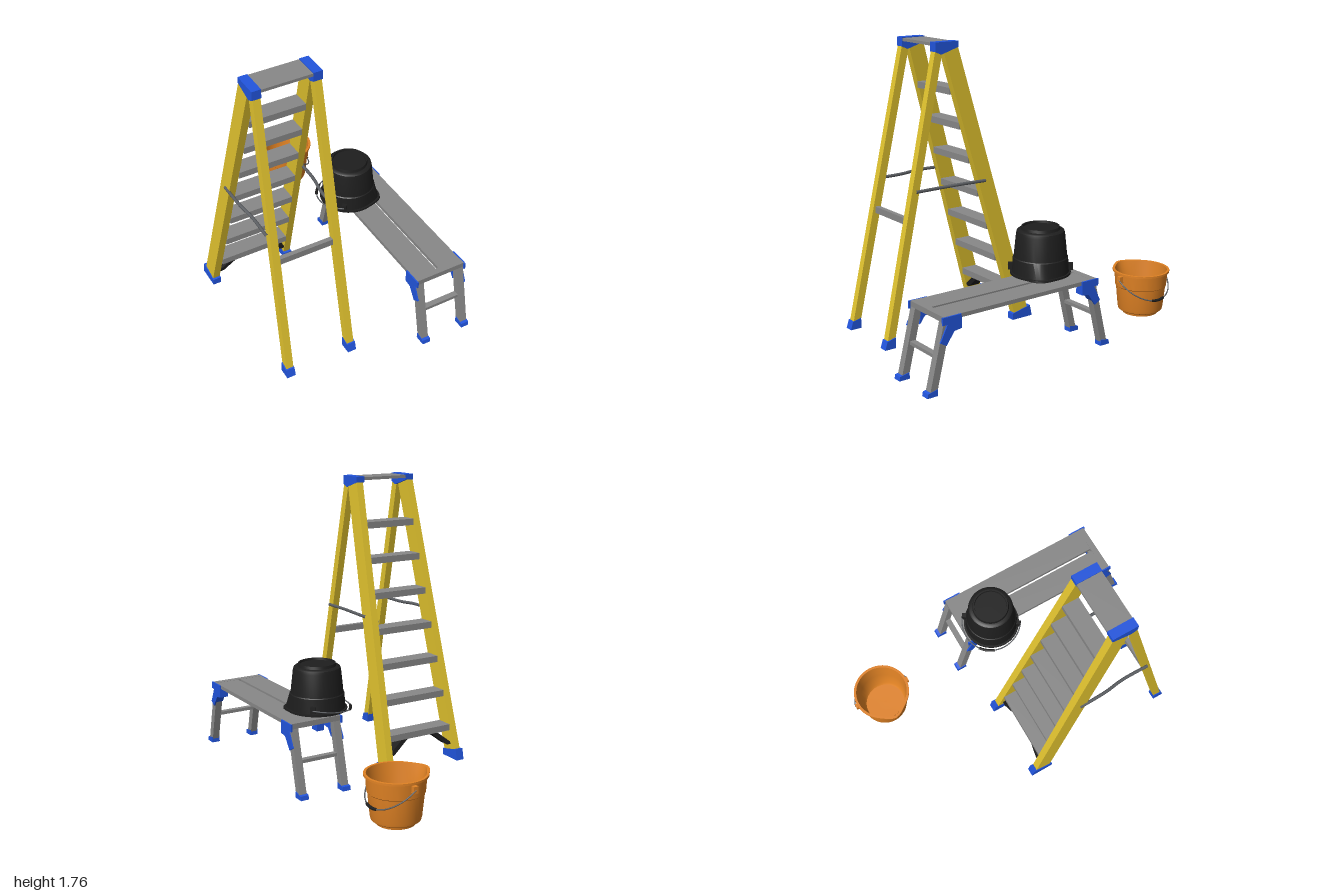
import * as THREE from 'three';
import { toCreasedNormals } from 'three/addons/utils/BufferGeometryUtils.js';

const mat = (name, color) => Object.assign(new THREE.MeshStandardMaterial({ color }), { name });

export function createModel() {
  const yellow = mat('yellow fibreglass', 0xe0c22e);
  const grey = mat('grey aluminium', 0x888888);
  const blue = mat('blue plastic', 0x2255dd);
  const black = mat('black plastic', 0x1e1e1e);
  const orange = mat('orange plastic', 0xe08224);
  const steel = mat('handle steel', 0x5c5f63);

  const add = (parent, name, geo, material) => {
    const m = new THREE.Mesh(geo, material);
    m.name = name;
    parent.add(m);
    return m;
  };
  const group = (parent, name) => {
    const g = new THREE.Group();
    g.name = name;
    parent.add(g);
    return g;
  };
  // box given by its min and max corners
  const box = (parent, name, material, [x0, y0, z0], [x1, y1, z1]) =>
    add(parent, name, new THREE.BoxGeometry(x1 - x0, y1 - y0, z1 - z0)
      .translate((x0 + x1) / 2, (y0 + y1) / 2, (z0 + z1) / 2), material);
  // leaning post with level ends, from centre a (bottom) to centre b (top)
  const post = (parent, name, material, a, b, w, d) => {
    const geo = new THREE.BoxGeometry(w, b[1] - a[1], d);
    const p = geo.attributes.position;
    for (let i = 0; i < p.count; i++) {
      const end = p.getY(i) > 0 ? b : a;
      p.setXYZ(i, p.getX(i) + end[0], end[1], p.getZ(i) + end[2]);
    }
    geo.computeVertexNormals();
    return add(parent, name, geo, material);
  };
  // side profile of [z, y] points, extruded across x
  const prism = (parent, name, material, pts, x0, x1) => {
    const shape = new THREE.Shape(pts.map(([z, y]) => new THREE.Vector2(z, y)));
    const geo = new THREE.ExtrudeGeometry(shape, { depth: x1 - x0, bevelEnabled: false });
    return add(parent, name, geo.rotateY(-Math.PI / 2).translate(x1, 0, 0), material);
  };
  const tube = (parent, name, material, pts, r, seg) =>
    add(parent, name, new THREE.TubeGeometry(new THREE.CatmullRomCurve3(pts), seg, r, 8), material);

  const model = new THREE.Group();
  model.name = 'ladderBenchAndBuckets';

  // ---- stepladder ----
  const ladder = group(model, 'stepladder');
  ladder.position.x = -0.33;
  const railZ = y => -0.13 + (y - 0.03) * 0.275;
  const innerX = y => 0.231 - (y - 0.03) * 0.04;
  for (const s of [-1, 1]) {
    const span = (a, b) => [Math.min(s * a, s * b), Math.max(s * a, s * b)];
    post(ladder, 'stepRail', yellow, [s * 0.253, 0.03, railZ(0.03)], [s * 0.185, 1.735, railZ(1.735)], 0.045, 0.107);
    post(ladder, 'supportLeg', yellow, [s * 0.203, 0.03, 0.795], [s * 0.18, 1.735, 0.409], 0.045, 0.05);
    prism(ladder, 'topCap', blue,
      [[0.44, 1.765], [0.44, 1.71], [0.4, 1.693], [0.282, 1.73], [0.282, 1.765]], ...span(0.153, 0.209));
    prism(ladder, 'stepRailFoot', blue,
      [[-0.06, 0], [-0.06, 0.04], [-0.195, 0.07], [-0.21, 0]], ...span(0.227, 0.28));
    prism(ladder, 'supportLegFoot', blue,
      [[0.838, 0], [0.822, 0.05], [0.765, 0.065], [0.765, 0]], ...span(0.177, 0.232));
    // folding spreader on the outside
    tube(ladder, 'spreader', steel, [
      new THREE.Vector3(s * 0.242, 0.92, 0.12), new THREE.Vector3(s * 0.238, 0.922, 0.3),
      new THREE.Vector3(s * 0.222, 0.917, 0.42), new THREE.Vector3(s * 0.222, 0.915, 0.6)], 0.01, 12);
    // corner brace under the lowest step
    post(ladder, 'stepBrace', black, [s * 0.225, 0.09, -0.1], [s * 0.11, 0.18, -0.085], 0.045, 0.075);
  }
  // hollow channel treads
  for (let i = 0; i < 7; i++) {
    const y = 0.22 + i * 0.2117, z = railZ(y), x = innerX(y);
    const step = group(ladder, 'step');
    box(step, 'tread', grey, [-x, y - 0.01, z - 0.053], [x, y, z + 0.053]);
    box(step, 'backLip', grey, [-x, y - 0.04, z - 0.053], [x, y - 0.01, z - 0.043]);
    box(step, 'frontLip', grey, [-x, y - 0.04, z + 0.043], [x, y - 0.01, z + 0.053]);
  }
  box(ladder, 'topStep', grey, [-0.155, 1.742, 0.282], [0.155, 1.76, 0.437]);
  box(ladder, 'supportCrossbar', grey, [-0.175, 0.715, 0.617], [0.175, 0.755, 0.645]);

  // ---- work bench ----
  const bench = group(model, 'workBench');
  bench.position.set(0.4365, 0, 0.36);
  for (const [x0, x1] of [[-0.163, -0.011], [0.008, 0.163]])
    box(bench, 'plank', grey, [x0, 0.405, -0.495], [x1, 0.428, 0.495]);
  for (const e of [-1, 1]) {
    const end = group(bench, 'benchEnd');
    end.rotation.y = e > 0 ? 0 : Math.PI;
    box(end, 'deckEnd', grey, [-0.163, 0.397, 0.49], [0.163, 0.429, 0.53]);
    box(end, 'rung', grey, [-0.12, 0.195, 0.53], [0.12, 0.215, 0.565]);
    for (const s of [-1, 1]) {
      post(end, 'benchLeg', grey, [s * 0.14, 0.02, 0.598], [s * 0.14, 0.4, 0.505], 0.045, 0.045);
      prism(end, 'benchFoot', blue,
        [[0.64, 0], [0.635, 0.025], [0.575, 0.037], [0.573, 0]], s * 0.14 - 0.026, s * 0.14 + 0.026);
      const bracket = [[0.54, 0.428], [0.42, 0.428], [0.42, 0.348], [0.467, 0.342],
        [0.518, 0.27], [0.556, 0.292], [0.51, 0.385], [0.54, 0.385]];
      prism(end, 'hingeBracket', blue, bracket, s * 0.166 - 0.005, s * 0.166 + 0.005);
      // inner half of the hinge, tucked under the deck
      prism(end, 'hingeBlock', blue,
        [[0.49, 0.404], [0.42, 0.404], [0.42, 0.348], [0.467, 0.342], [0.5, 0.297]],
        s * 0.14 - 0.024, s * 0.14 + 0.024);
    }
  }

  // ---- buckets ----
  const profile = [[0, 0.012], [0.1, 0.012], [0.102, 0], [0.111, 0], [0.115, 0.017], [0.13, 0.019],
    [0.139, 0.026], [0.143, 0.042], [0.157, 0.18], [0.162, 0.185], [0.168, 0.273], [0.179, 0.273],
    [0.179, 0.285], [0.164, 0.285], [0.152, 0.17], [0.138, 0.045], [0.128, 0.03], [0, 0.028]];
  const bucket = (name, material, dx, dy) => {
    const g = group(model, name);
    const geo = new THREE.LatheGeometry(profile.map(([r, y]) => new THREE.Vector2(r, y)), 48);
    const p = geo.attributes.position;
    // pull the rim out into a pouring spout on the -x side
    for (let i = 0; i < p.count; i++) {
      const x = p.getX(i), z = p.getZ(i);
      const lift = Math.max(0, (p.getY(i) - 0.17) / 0.115);
      const off = Math.atan2(z, -x);
      const k = 1 + 0.15 * lift * Math.exp(-((off / 0.34) ** 2));
      p.setX(i, x * k);
      p.setZ(i, z * k);
    }
    add(g, 'bucketBody', toCreasedNormals(geo, 0.6), material);
    // wire bail, pivots and grip
    const at = t => new THREE.Vector3(Math.sin(t) * dx, 0.245 + Math.sin(t) * dy, Math.cos(t) * 0.19);
    const arc = (a, b, n) => Array.from({ length: n + 1 }, (_, i) => at(a + (b - a) * i / n));
    tube(g, 'handleWire', steel, arc(0, Math.PI, 16), 0.004, 48);
    tube(g, 'handleGrip', black, arc(1.3, Math.PI - 1.3, 4), 0.009, 8);
    for (const s of [-1, 1])
      box(g, 'handleLug', material, [-0.014, 0.225, s * 0.177 - 0.014], [0.014, 0.265, s * 0.177 + 0.014]);
    return g;
  };
  bucket('orangeBucket', orange, 0.16, -0.128).position.set(0.308, 0, -0.812);
  const upturned = bucket('blackBucket', black, 0.2, 0.03);
  upturned.position.set(0.32, 0.714, 0.02);
  upturned.rotation.set(Math.PI, THREE.MathUtils.degToRad(218), 0);

  return model;
}
